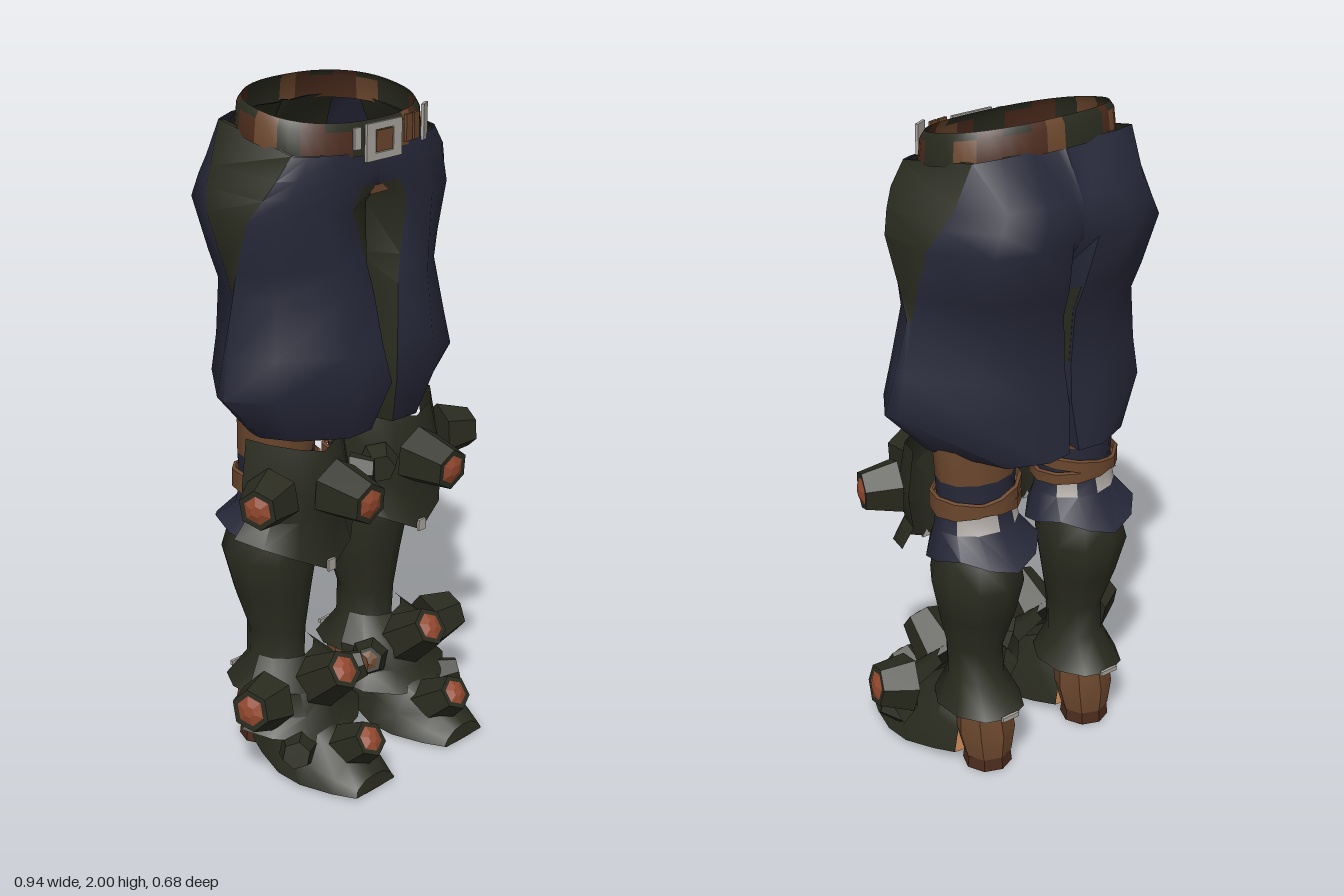
import * as THREE from 'three';
import { toCreasedNormals } from 'three/addons/utils/BufferGeometryUtils.js';

const mat = (name, color) => new THREE.MeshStandardMaterial({ name, color, side: THREE.DoubleSide });
const lerp = THREE.MathUtils.lerp;

// Skin between rows of points; pick(i, j) gives the material index of a quad, or -1 for a hole
function loft(rows, closed, pick = () => 0, crease = 0.7) {
  const n = rows[0].length, buckets = [];
  for (let i = 0; i < rows.length - 1; i++) {
    for (let j = 0; j < (closed ? n : n - 1); j++) {
      const m = pick(i, j);
      if (m < 0) continue;
      const a = i * n + j, b = i * n + (j + 1) % n, c = b + n, d = a + n;
      (buckets[m] ??= []).push(a, d, c, a, c, b);
    }
  }
  const geo = new THREE.BufferGeometry();
  geo.setAttribute('position', new THREE.Float32BufferAttribute(rows.flat(2), 3));
  geo.setIndex(buckets.flat());
  let start = 0;
  buckets.forEach((list, m) => { geo.addGroup(start, list.length, m); start += list.length; });
  geo.computeVertexNormals();
  return toCreasedNormals(geo, crease);
}

// Horizontal ring or arc, starting at the front and turning towards +x
function ring(y, cx, cz, rx, rz, n, { from = 0, to = Math.PI * 2, open = false, lift = () => 0, power = 1 } = {}) {
  const soft = v => Math.sign(v) * Math.abs(v) ** power;
  return Array.from({ length: n }, (_, k) => {
    const t = from + (to - from) * k / (open ? n - 1 : n);
    const x = cx + rx * soft(Math.sin(t)), z = cz + rz * soft(Math.cos(t));
    return [cx > 0 ? Math.max(x, 0.003) : x, y + lift(t, z), z];
  });
}

function mirrored(geo) {
  const g = geo.clone().scale(-1, 1, 1);
  const idx = g.index ? Array.from(g.index.array) : Array.from({ length: g.attributes.position.count }, (_, i) => i);
  for (let i = 0; i < idx.length; i += 3) [idx[i], idx[i + 1]] = [idx[i + 1], idx[i]];
  g.setIndex(idx);
  return g;
}

export function createModel() {
  const dark = mat('dark leather', 0x2a2b1f), navy = mat('navy cloth', 0x272839);
  const brown = mat('brown leather', 0x6b472d), belt = mat('belt leather', 0x4a2a1c);
  const rust = mat('rusty metal', 0x94492f), silver = mat('worn silver', 0xaaa59f);
  const tan = mat('tan sole', 0xb87c50);

  const model = new THREE.Group();
  const left = new THREE.Group(), right = new THREE.Group();
  left.name = 'leftLeg';
  right.name = 'rightLeg';
  model.add(left, right);

  const single = (name, geo, material, parent = model) => {
    const m = new THREE.Mesh(geo, material);
    m.name = name;
    parent.add(m);
    return m;
  };
  const both = (name, geo, material) => {
    single(name, geo, material, left);
    single(name, mirrored(geo), material, right);
  };

  // Trousers: y, inner x, inner edge x, outer x, front z, back z, crotch front z, crotch back z, side gap z
  const levels = [
    [1.88, 0, 0.06, 0.285, 0.142, -0.235, 0.14, -0.24, 0.09, -0.2],
    [1.80, 0, 0.07, 0.335, 0.15, -0.325, 0.145, -0.315, 0.08, -0.185],
    [1.75, 0, 0.08, 0.365, 0.15, -0.34, 0.14, -0.325, 0.06, -0.17],
    [1.69, 0, 0.11, 0.395, 0.15, -0.347, 0.09, -0.325, 0.03, -0.14],
    [1.54, 0, 0.068, 0.388, 0.165, -0.31, 0.05, -0.20, -0.025, -0.08],
    [1.46, 0.018, 0.05, 0.383, 0.175, -0.28, 0.05, -0.14, -0.045, -0.055],
    [1.30, 0.016, 0.03, 0.42, 0.195, -0.275, 0.06, -0.14, -0.03, -0.06],
    [1.19, 0.004, 0.01, 0.448, 0.212, -0.29, 0.06, -0.15, -0.02, -0.06],
    [1.045, 0.02, 0.045, 0.31, 0.165, -0.31, 0.05, -0.16, -0.02, -0.07],
    [1.06, 0.06, 0.09, 0.28, 0.03, -0.18, -0.03, -0.12, -0.05, -0.09],
  ];
  const trouserRows = levels.map(([y, xi, xe, xo, zf, zb, c1, c2, za, zb2], i) => [
    [xe, zf * 0.97], [lerp(xe, xo, 0.36), zf], [lerp(xe, xo, 0.82), lerp(zf, za, 0.5)],
    [xo, za], [xo * 0.97, zb2], [lerp(xe, xo, 0.63), lerp(zb, zb2, 0.2)],
    [lerp(xe, xo, 0.2), zb], [xe * 0.4, zb * 0.97], [xi, c2], [xi, c1],
  ].map(([x, z]) => [x, y + (i === 0 ? -0.2 * z : 0), z]));
  both('trouserLeg', loft(trouserRows, true, (i, j) => {
    if (j === 3) return i < 5 ? 1 : 0;            // side insert
    if (j === 8) return i < 4 ? -1 : 1;           // inner thigh, open above the crotch
    if (j === 9) return i < 2 ? 0 : 1;            // crotch patch
    return 0;
  }, 1.0), [navy, dark]);
  single('crotchTab', new THREE.BoxGeometry(0.07, 0.022, 0.008), brown).position.set(0, 1.735, 0.137);

  // Dark lining just inside the cloth, leaving the back corners bare
  const lining = trouserRows.slice(0, 7).map(row => row.map(([x, y, z]) => [x * 0.965, y, -0.07 + (z + 0.07) * 0.955]));
  both('lining', loft(lining, true, (i, j) => [4, 8, 9].includes(j) ? -1 : 0, 1.0), dark);

  // Belt, tilted up towards the back
  const N = 40, tilt = (t, z) => -0.2 * z;
  const beltRing = (y, g) => ring(y, 0, -0.047, 0.283 + g, 0.192 + g, N, { lift: tilt, power: 0.85 });
  const pattern = [0, 0, 1, 0, 2, 1, 0, 2, 0, 1];
  single('belt', loft([beltRing(1.955, -0.012), beltRing(1.935, 0.001), beltRing(1.868, 0.008)], true,
    (i, j) => i === 0 && j % 4 < 2 ? 1 : pattern[(j * 7 + (j >> 2)) % 10]), [belt, dark, brown]);

  // Buckle and belt fittings
  const rect = (w, h, P) => {
    const s = new P();
    s.moveTo(-w, -h); s.lineTo(w, -h); s.lineTo(w, h); s.lineTo(-w, h); s.closePath();
    return s;
  };
  const frame = rect(0.07, 0.052, THREE.Shape);
  frame.holes.push(rect(0.036, 0.032, THREE.Path));
  single('buckle', new THREE.ExtrudeGeometry(frame, { depth: 0.009, bevelEnabled: false }), silver).position.set(0, 1.873, 0.152);
  single('bucklePlate', new THREE.BoxGeometry(0.066, 0.058, 0.009), brown).position.set(0, 1.873, 0.157);
  for (const [x, z, w, h, turn, m] of [
    [-0.1, 0.148, 0.022, 0.06, -0.15, silver], [0.105, 0.148, 0.03, 0.075, 0.15, brown],
    [0.2, 0.122, 0.045, 0.1, 0.5, silver], [0.14, 0.143, 0.03, 0.075, 0.25, brown]]) {
    const p = single('beltFitting', new THREE.BoxGeometry(w, h, 0.009), m);
    p.position.set(x, 1.89, z + 0.004);
    p.rotation.y = turn;
  }

  // Wrapped cloth and straps under the knee
  const wrap = [
    [1.07, 0.13, 0.1, -0.08], [0.965, 0.125, 0.1, -0.085], [0.9, 0.12, 0.1, -0.085],
    [0.86, 0.122, 0.1, -0.085], [0.81, 0.13, 0.11, -0.088], [0.735, 0.165, 0.165, -0.115],
  ].map(([y, rx, rz, cz], i) => ring(y, 0.185, cz, rx, rz, 12, { lift: t => i === 5 ? 0.025 * Math.cos(3 * t) : 0 }));
  both('kneeWrap', loft(wrap, true, (i, j) => i === 0 ? 1
    : (i === 3 && [4, 5, 7].includes(j)) || (i === 2 && j === 3) ? 2 : 0), [navy, brown, silver]);
  for (const [y, slope] of [[0.885, 0.12], [0.9, -0.2]]) {
    const strap = (dy, g) => ring(y + dy, 0.185, -0.085, 0.13 + g, 0.112 + g, 12, { lift: t => slope * 0.13 * Math.sin(t) });
    both('kneeStrap', loft([strap(0.02, 0), strap(0.016, 0.01), strap(-0.016, 0.01), strap(-0.02, 0)], true), brown);
  }

  // Boot shaft
  const shaft = [
    [0.81, 0.19, -0.085, 0.09, 0.085], [0.72, 0.195, -0.1, 0.12, 0.135], [0.64, 0.2, -0.107, 0.138, 0.147],
    [0.52, 0.197, -0.1, 0.115, 0.12], [0.4, 0.195, -0.085, 0.083, 0.093], [0.3, 0.195, -0.09, 0.085, 0.09],
    [0.205, 0.195, -0.105, 0.125, 0.155],
  ].map(([y, cx, cz, rx, rz]) => ring(y, cx, cz, rx, rz, 10));
  both('bootShaft', loft(shaft, true, () => 0, 1), dark);
  both('heelTrim', new THREE.BoxGeometry(0.06, 0.014, 0.009).translate(0.195, 0.21, -0.256), silver);

  // Curved armour plates on the knee and the ankle
  const arc = (y, cz, rx, rz, rise) => ring(y, 0.195, cz, rx, rz, 7,
    { from: -1.55, to: 1.55, open: true, lift: t => rise * Math.abs(Math.sin(t)) });
  both('kneePlate', loft([arc(1.01, -0.03, 0.165, 0.15, 0.045), arc(0.91, -0.03, 0.185, 0.18, 0),
    arc(0.81, -0.03, 0.17, 0.155, 0), arc(0.65, -0.035, 0.215, 0.18, 0.11)], false), dark);
  both('anklePlate', loft([arc(0.33, -0.06, 0.1, 0.09, 0.01), arc(0.25, -0.03, 0.17, 0.15, 0.02),
    arc(0.19, -0.02, 0.165, 0.16, 0), arc(0.11, -0.02, 0.215, 0.2, 0.04)], false), dark);
  both('plateTip', new THREE.BoxGeometry(0.03, 0.035, 0.008).translate(0.195, 0.668, 0.146), silver);

  // Blunt studs: base, direction, length, radius, tip colour
  const up = new THREE.Vector3(0, 1, 0);
  const studs = [
    [[0.175, 0.9, 0.14], [0, -0.08, 1], 0.14, 0.09, rust], [[0.35, 0.905, 0.07], [0.93, -0.02, 0.36], 0.105, 0.085, rust],
    [[0.06, 0.9, 0.09], [-0.6, 0, 0.75], 0.07, 0.06], [[0.19, 0.25, 0.07], [0, 0.6, 0.8], 0.155, 0.085, rust],
    [[0.35, 0.245, 0.04], [0.95, 0.15, 0.25], 0.105, 0.09, rust], [[0.06, 0.24, 0.06], [-0.7, 0.3, 0.6], 0.07, 0.06, brown],
    [[0.19, 0.08, 0.2], [0, 0.6, 0.8], 0.125, 0.078, rust], [[0.31, 0.1, 0.12], [0.7, 0.2, 0.6], 0.07, 0.06],
  ];
  for (const [base, dir, len, r, tip] of studs) {
    const q = new THREE.Quaternion().setFromUnitVectors(up, new THREE.Vector3(...dir).normalize());
    const place = g => toCreasedNormals(g.applyQuaternion(q).translate(...base), 0.3);
    both('stud', place(new THREE.CylinderGeometry(r * 0.7, r, len, 6).translate(0, len / 2, 0)), dark);
    if (tip) both('studTip', place(new THREE.CylinderGeometry(r * 0.2, r * 0.5, 0.01, 6).translate(0, len + 0.005, 0)), tip);
  }

  // Shoe: z, half width, height, base height
  const shoe = [[-0.1, 0.085, 0.2, 0.035], [-0.03, 0.115, 0.28, 0.025], [0.07, 0.145, 0.22, 0.012],
    [0.16, 0.145, 0.15, 0.008], [0.26, 0.115, 0.09, 0.006], [0.325, 0.085, 0.05, 0.006]];
  const profile = [[-1, 0], [-0.84, 0.45], [-0.45, 0.9], [0, 1], [0.45, 0.9], [0.84, 0.45], [1, 0]];
  const shoeRows = shoe.map(([z, w, h, b]) => profile.map(([u, v]) => [0.2 + u * w, b + v * (h - b), z]));
  shoeRows.push(profile.map(([u]) => [0.2 + u * 0.08, 0.006, 0.33]));
  both('shoe', loft(shoeRows, false), dark);
  const soleRows = shoe.map(([z, w, , b]) => [-1, -0.4, 0.4, 1].map(u => [0.2 + u * w, Math.abs(u) < 1 ? b - 0.006 : b, z]));
  both('sole', loft(soleRows.reverse(), false), tan);

  // Heel counter and heel block
  both('heel', loft([ring(0.21, 0.195, -0.125, 0.085, 0.08, 8), ring(0.12, 0.195, -0.135, 0.092, 0.09, 8),
    ring(0.04, 0.195, -0.145, 0.075, 0.072, 8)], true), brown);
  both('heelBlock', toCreasedNormals(new THREE.CylinderGeometry(0.07, 0.075, 0.045, 8, 1, true).translate(0.195, 0.0225, -0.145), 0.5), belt);
  both('heelSole', new THREE.CircleGeometry(0.075, 8).rotateX(Math.PI / 2).translate(0.195, 0.002, -0.145), tan);

  return model;
}
